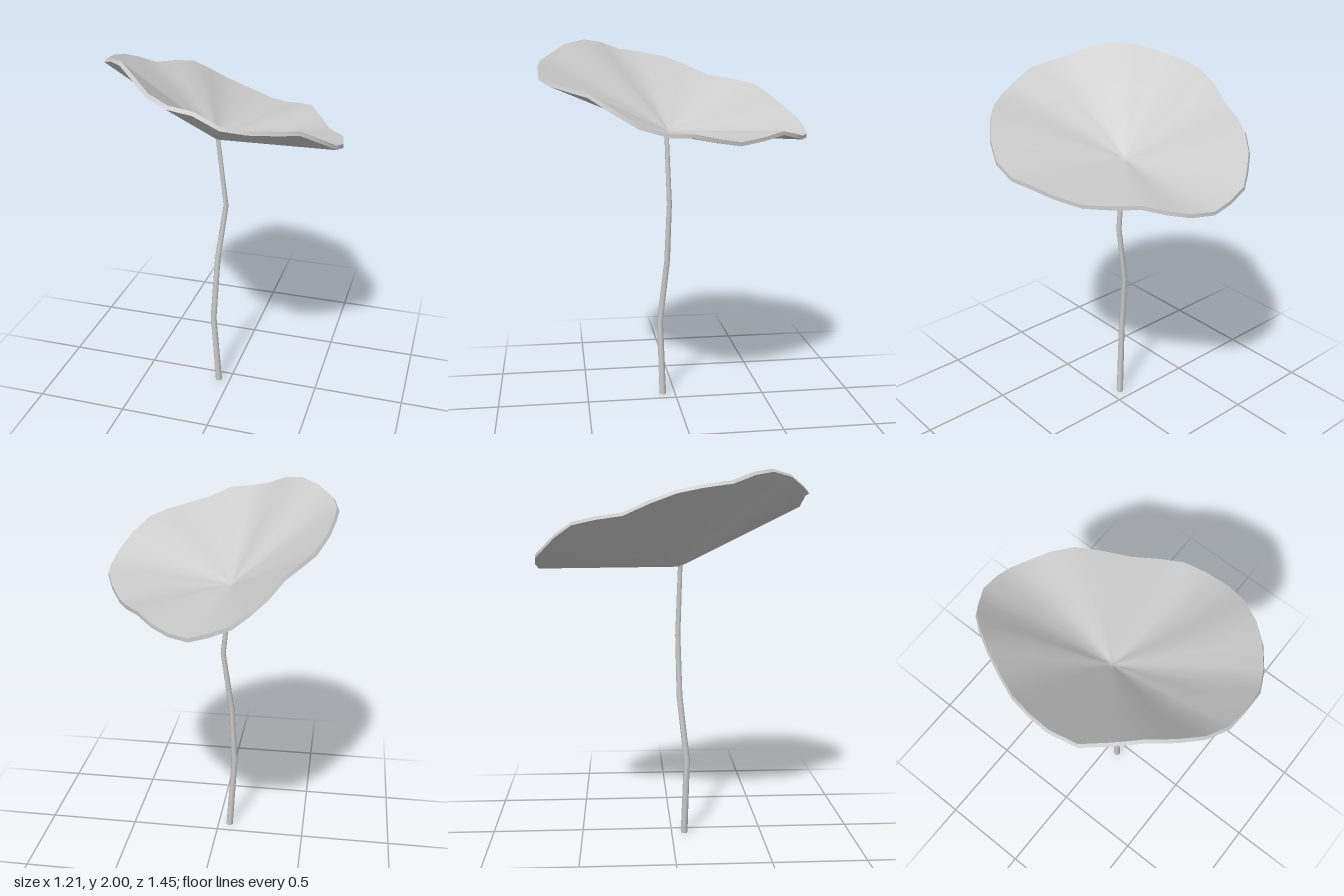
import * as THREE from 'three';
import { mergeVertices } from 'three/addons/utils/BufferGeometryUtils.js';

const material = new THREE.MeshStandardMaterial({ color: 0xcccccc });
const THICKNESS = 0.02;
const CENTRE = new THREE.Vector3(-0.07, 1.515, 0.035);

// Wavy rim of the leaf, from the back round by the left side (x, y, z)
const RIM = [
  [-0.06, 1.53, -0.72], [0.03, 1.5, -0.71], [0.13, 1.5, -0.66], [0.22, 1.52, -0.6],
  [0.31, 1.545, -0.51], [0.39, 1.525, -0.39], [0.46, 1.51, -0.26], [0.53, 1.535, -0.13],
  [0.58, 1.565, -0.01], [0.6, 1.57, 0.11], [0.59, 1.61, 0.25], [0.54, 1.68, 0.37],
  [0.46, 1.75, 0.48], [0.37, 1.775, 0.58], [0.26, 1.795, 0.66], [0.155, 1.82, 0.71],
  [0.03, 1.88, 0.715], [-0.09, 1.895, 0.71], [-0.2, 1.925, 0.66], [-0.3, 1.975, 0.58],
  [-0.4, 2.0, 0.47], [-0.49, 1.985, 0.37], [-0.575, 1.945, 0.255], [-0.6, 1.925, 0.11],
  [-0.59, 1.9, -0.01], [-0.565, 1.855, -0.13], [-0.51, 1.795, -0.26], [-0.45, 1.775, -0.39],
  [-0.38, 1.745, -0.51], [-0.315, 1.68, -0.6], [-0.24, 1.62, -0.66], [-0.165, 1.57, -0.71],
].map((p) => new THREE.Vector3(...p));

function makeGeometry(points, index) {
  const g = new THREE.BufferGeometry().setFromPoints(points);
  g.setIndex(index);
  g.computeVertexNormals();
  return g;
}

// Triangles joining rings of n points; the first ring starts at index start
function joinRings(index, start, rings, n) {
  for (let r = 0; r < rings - 1; r++) {
    for (let i = 0; i < n; i++) {
      const j = (i + 1) % n, a = start + r * n, b = a + n;
      index.push(a + i, a + j, b + i, a + j, b + j, b + i);
    }
  }
}

function createLeaf() {
  const leaf = new THREE.Group();
  leaf.name = 'leaf';
  const n = RIM.length;

  // Upper skin: rings running out from the centre to the rim
  const steps = [0.05, 0.3, 0.65, 1];
  const top = [CENTRE.clone()];
  for (const t of steps) for (const p of RIM) top.push(CENTRE.clone().lerp(p, t));
  const index = [];
  for (let i = 0; i < n; i++) index.push(0, 1 + ((i + 1) % n), 1 + i);
  joinRings(index, 1, steps.length, n);
  const topGeometry = makeGeometry(top, index);

  // Lower skin: the upper skin pushed inwards along its normals, facing down
  const normals = topGeometry.attributes.normal;
  const under = top.map((p, i) =>
    p.clone().addScaledVector(new THREE.Vector3().fromBufferAttribute(normals, i), -THICKNESS));
  const underGeometry = makeGeometry(under, index.slice().reverse());

  // Narrow band closing the edge
  const edgeIndex = [];
  joinRings(edgeIndex, 0, 2, n);
  const edgeGeometry = makeGeometry([...top.slice(-n), ...under.slice(-n)], edgeIndex);

  const parts = { leafTop: topGeometry, leafUnderside: underGeometry, leafEdge: edgeGeometry };
  for (const [name, geometry] of Object.entries(parts)) {
    const mesh = new THREE.Mesh(geometry, material);
    mesh.name = name;
    leaf.add(mesh);
  }
  return leaf;
}

function createStem() {
  // Bent stalk: x, y, z, radius at each joint
  const joints = [
    [-0.065, 0, 0.07, 0.019], [-0.09, 0.43, 0.082, 0.017], [-0.075, 0.79, 0.042, 0.016],
    [-0.028, 1.12, 0.035, 0.014], [-0.068, 1.508, 0.045, 0.012],
  ];
  const sides = 8;
  const geometry = mergeVertices(
    new THREE.CylinderGeometry(1, 1, 1, sides, joints.length - 1).deleteAttribute('uv'));
  const pos = geometry.attributes.position;
  for (let i = 0; i < pos.count; i++) {
    const level = Math.round((pos.getY(i) + 0.5) * (joints.length - 1));
    const [x, y, z, r] = joints[level];
    pos.setXYZ(i, x + pos.getX(i) * r, y, z + pos.getZ(i) * r);
  }
  geometry.computeVertexNormals();
  const stem = new THREE.Mesh(geometry, material);
  stem.name = 'stem';
  return stem;
}

export function createModel() {
  const model = new THREE.Group();
  model.name = 'leafOnStem';
  model.add(createStem(), createLeaf());
  return model;
}
